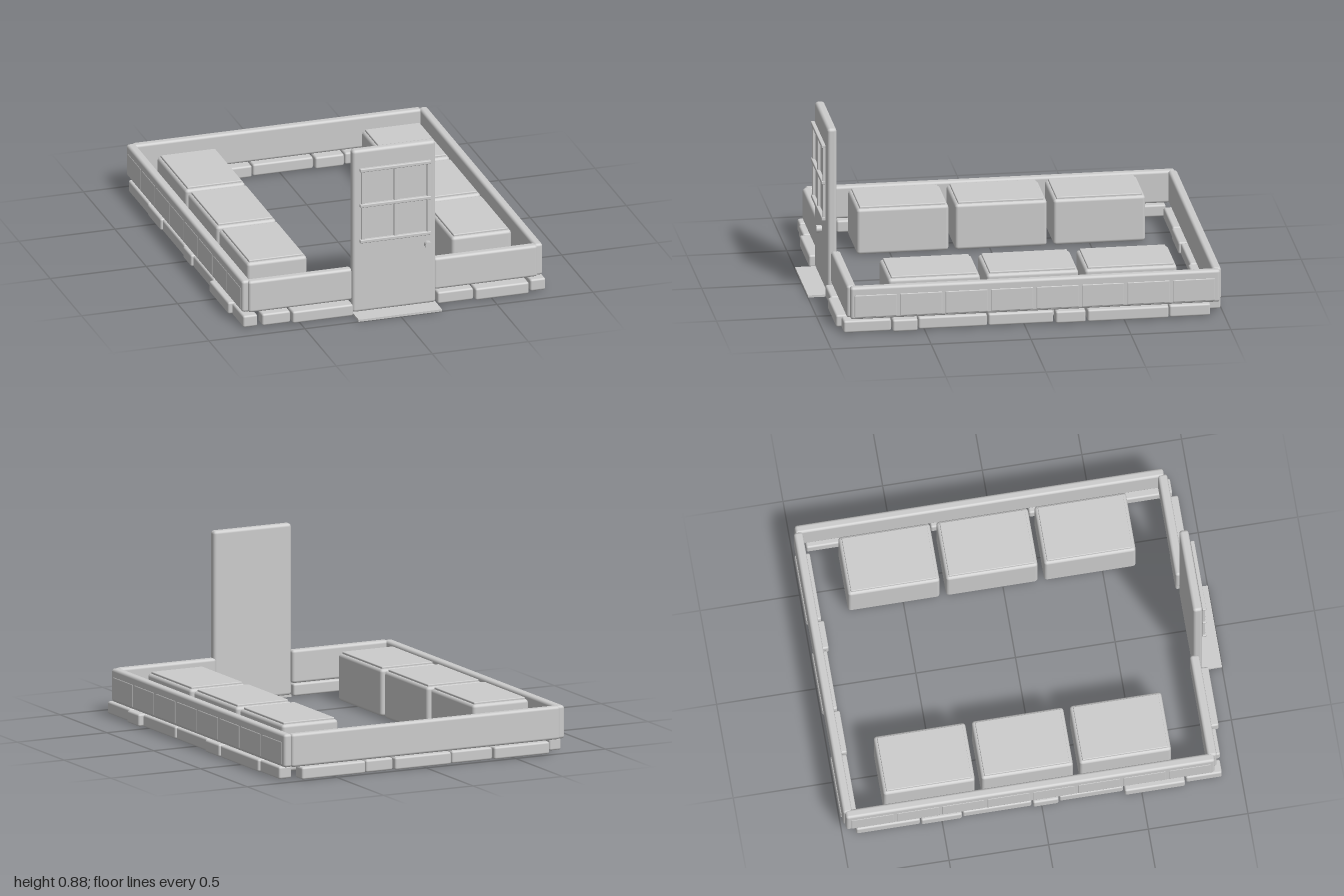
import * as THREE from 'three';
import { RoundedBoxGeometry } from 'three/addons/geometries/RoundedBoxGeometry.js';

export function createModel() {
  const model = new THREE.Group();
  model.name = 'cabinBase';
  const grey = new THREE.MeshStandardMaterial({ color: 0xcccccc });
  grey.name = 'plainGrey';

  // Soft-edged block given by its extents on each axis
  function block(name, [x0, x1], [y0, y1], [z0, z1], radius = 0.012) {
    const w = x1 - x0, h = y1 - y0, d = z1 - z0;
    const geometry = radius > 0
      ? new RoundedBoxGeometry(w, h, d, 2, radius)
      : new THREE.BoxGeometry(w, h, d);
    const mesh = new THREE.Mesh(geometry, grey);
    mesh.name = name;
    mesh.position.set((x0 + x1) / 2, (y0 + y1) / 2, (z0 + z1) / 2);
    model.add(mesh);
    return mesh;
  }

  // Low walls, open at the doorway
  const wallY = [0.07, 0.238];
  block('leftWall', [0.737, 0.782], wallY, [-0.98, 0.87], 0.014);
  block('rightWall', [-0.785, -0.738], wallY, [-0.98, 0.87], 0.014);
  block('backWall', [-0.755, 0.745], wallY, [-0.99, -0.945], 0.014);
  block('frontWallRight', [-0.755, -0.215], wallY, [0.838, 0.885], 0.014);
  block('frontWallLeft', [0.21, 0.75], wallY, [0.838, 0.885], 0.014);

  // Nearly flush panels along the outside of both side walls
  for (let i = 0; i < 8; i++) {
    const z = -0.955 + i * 0.2275;
    block('leftWallPanel', [0.75, 0.784], [0.08, 0.198], [z, z + 0.214], 0.006);
    block('rightWallPanel', [-0.787, -0.75], [0.08, 0.198], [z, z + 0.214], 0.006);
  }

  // Three chests with thin lids on each side
  for (const x of [-0.535, 0.53]) {
    for (const z of [-0.547, -0.055, 0.437]) {
      block('chest', [x - 0.156, x + 0.156], [0.002, 0.24], [z - 0.23, z + 0.23], 0.016);
      block('chestLid', [x - 0.142, x + 0.142], [0.22, 0.25], [z - 0.214, z + 0.214], 0.004);
    }
  }

  // Foundation stones: [start, end, inner, outer]
  const stoneY = [0.004, 0.066];
  const leftStones = [
    [-0.93, -0.725, 0.715, 0.785], [-0.72, -0.315, 0.705, 0.793],
    [-0.305, -0.155, 0.72, 0.795], [-0.145, 0.18, 0.705, 0.78],
    [0.187, 0.53, 0.715, 0.782], [0.537, 0.662, 0.712, 0.803],
    [0.668, 0.905, 0.705, 0.785],
  ];
  const rightStones = [
    [-0.93, -0.61, -0.79, -0.725], [-0.605, -0.4, -0.795, -0.71],
    [-0.395, -0.05, -0.787, -0.725], [-0.043, 0.085, -0.795, -0.71],
    [0.09, 0.41, -0.785, -0.73], [0.415, 0.717, -0.808, -0.72],
    [0.724, 0.905, -0.79, -0.715],
  ];
  for (const [a, b, inner, outer] of [...leftStones, ...rightStones]) {
    block('sideStone', [inner, outer], stoneY, [a, b], 0.01);
  }
  const endStones = [
    [-0.693, -0.547, 0.84, 0.912], [-0.54, -0.225, 0.845, 0.93],
    [0.22, 0.405, 0.84, 0.915], [0.412, 0.69, 0.845, 0.93],
    [-0.693, -0.385, -0.995, -0.913], [-0.378, -0.152, -0.985, -0.908],
    [-0.144, 0.17, -0.995, -0.918], [0.178, 0.328, -0.985, -0.907],
    [0.335, 0.69, -0.995, -0.918],
  ];
  for (const [a, b, back, front] of endStones) {
    block('endStone', [a, b], stoneY, [back, front], 0.01);
  }

  // Door, threshold, window bars and knob
  block('door', [-0.22, 0.214], [0.008, 0.877], [0.855, 0.902], 0.016);
  block('threshold', [-0.22, 0.214], [0, 0.011], [0.86, 1], 0);
  for (const y of [0.395, 0.585, 0.775]) {
    block('windowRail', [-0.187, 0.182], [y - 0.009, y + 0.009], [0.907, 0.927], 0.004);
  }
  for (const x of [-0.17, 0, 0.172]) {
    block('windowBar', [x - 0.009, x + 0.009], [0.395, 0.775], [0.907, 0.921], 0.003);
  }
  const knob = new THREE.Mesh(new THREE.CylinderGeometry(0.018, 0.018, 0.027, 24), grey);
  knob.name = 'doorKnob';
  knob.rotation.x = Math.PI / 2;
  knob.position.set(0.162, 0.34, 0.938);
  model.add(knob);

  return model;
}
